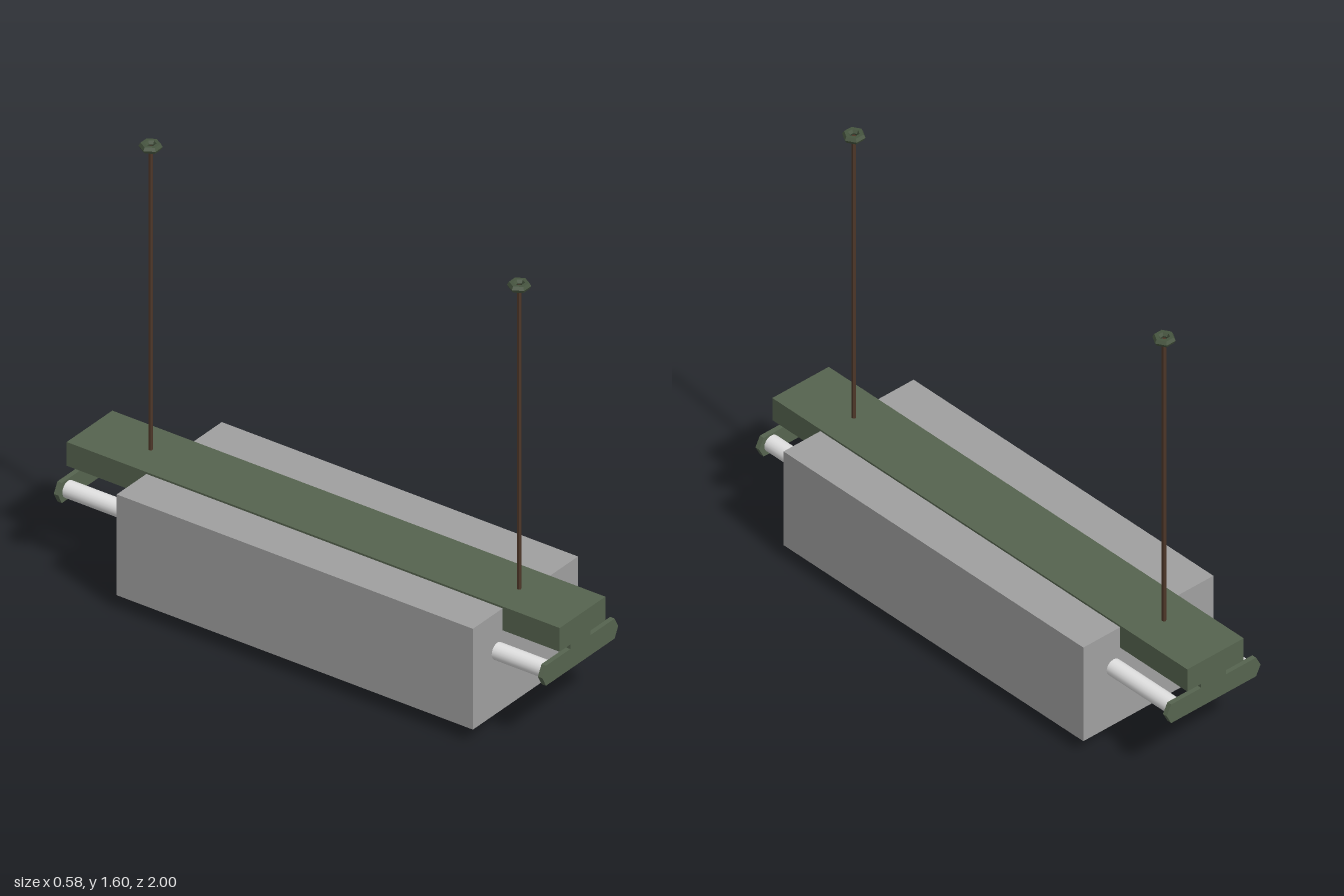
import * as THREE from 'three';

const paint = (name, color, extra = {}) => Object.assign(new THREE.MeshStandardMaterial({ color, ...extra }), { name });

export function createModel() {
  const green = paint('olive green', 0x56644f);
  const greenFlat = paint('dark green', 0x46543f, { flatShading: true });
  const grey = paint('housing grey', 0xa0a0a0);
  const white = paint('tube white', 0xe2e2e2);
  const brown = paint('rod brown', 0x4e3729, { flatShading: true });

  const lamp = new THREE.Group();
  lamp.name = 'hangingTubeLamp';
  const add = (name, geometry, material, x, y, z) => {
    const mesh = new THREE.Mesh(geometry, material);
    mesh.name = name;
    mesh.position.set(x, y, z);
    lamp.add(mesh);
    return mesh;
  };

  // Long rail with the housing hung around it
  add('rail', new THREE.BoxGeometry(0.25, 0.09, 2), green, 0, 0.397, 0);
  add('housing', new THREE.BoxGeometry(0.576, 0.382, 1.445), grey, 0, 0.244, 0.046);
  add('bottomPlate', new THREE.BoxGeometry(0.208, 0.054, 0.205), grey, 0, 0.027, 0.047);

  // Two light tubes running between the end brackets
  const tube = new THREE.CylinderGeometry(0.031, 0.031, 1.95, 20).rotateX(Math.PI / 2);
  for (const side of [1, -1]) add(side > 0 ? 'leftTube' : 'rightTube', tube, white, side * 0.154, 0.288, 0);

  // End bracket: pointed crossbar with a neck up to the rail
  const half = [[0.055, 0.354], [0.055, 0.326], [0.188, 0.326], [0.208, 0.288], [0.188, 0.25]];
  const outline = [...half, ...half.map(([x, y]) => [-x, y]).reverse()];
  const bracket = new THREE.ExtrudeGeometry(
    new THREE.Shape(outline.map(([x, y]) => new THREE.Vector2(x, y))),
    { depth: 0.018, bevelEnabled: false }
  ).translate(0, 0, -0.009);

  // Low-poly hanging rods, each topped by a hexagonal ring
  const rod = new THREE.CylinderGeometry(0.008, 0.008, 1.155, 6);
  const ring = new THREE.TorusGeometry(0.0265, 0.0135, 6, 6).rotateX(Math.PI / 2);
  for (const [end, bracketZ, rodZ] of [['front', 0.982, 0.743], ['back', -0.982, -0.752]]) {
    add(end + 'Bracket', bracket, green, 0, 0, bracketZ);
    add(end + 'Rod', rod, brown, 0, 1.0125, rodZ);
    add(end + 'Ring', ring, greenFlat, 0, 1.591, rodZ);
  }
  return lamp;
}
